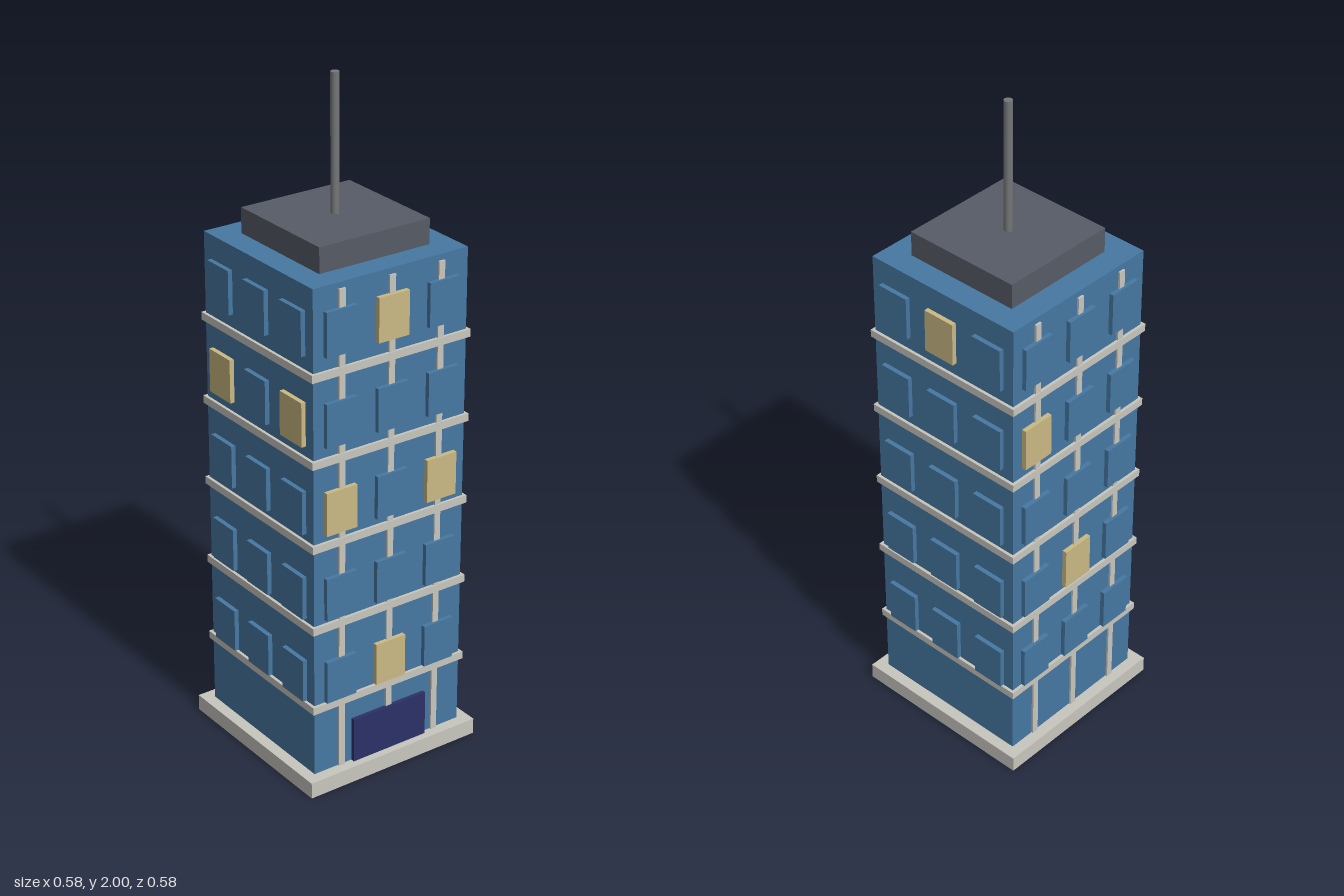
import * as THREE from 'three';

const material = (name, color) => {
  const m = new THREE.MeshStandardMaterial({ color });
  m.name = name;
  return m;
};

export function createModel() {
  const blue = material('wall blue', 0x4678a2);
  const stone = material('pale stone', 0xc8c6be);
  const gold = material('lit window gold', 0xcab983);
  const navy = material('door navy', 0x2c3068);
  const slate = material('roof slate', 0x565c66);
  const steel = material('antenna grey', 0x76777a);

  const tower = new THREE.Group();
  tower.name = 'tower';

  // Box spanning y0..y1, centred on x and z
  const box = (parent, name, mat, w, y0, y1, d, x = 0, z = 0) => {
    const mesh = new THREE.Mesh(new THREE.BoxGeometry(w, y1 - y0, d), mat);
    mesh.name = name;
    mesh.position.set(x, (y0 + y1) / 2, z);
    parent.add(mesh);
    return mesh;
  };

  // Main masses; the walls run down through the plinth to the ground
  const half = 0.255;
  box(tower, 'plinth', stone, 0.58, 0.001, 0.05, 0.58);
  box(tower, 'walls', blue, half * 2, 0, 1.53, half * 2);
  box(tower, 'roofBlock', slate, 0.363, 1.53, 1.605, 0.363);

  // Antenna
  const antenna = new THREE.Mesh(new THREE.CylinderGeometry(0.0125, 0.0125, 0.395, 8), steel);
  antenna.name = 'antenna';
  antenna.position.y = 1.8025;
  tower.add(antenna);

  // Ledges between the floors
  for (let i = 0; i < 5; i++) {
    const y = 0.263 + i * 0.254;
    box(tower, 'floorLedge', stone, 0.528, y - 0.0115, y + 0.0115, 0.528);
  }

  // Each facade is built facing +z, then turned; lit windows are [row, column]
  const facades = [
    { name: 'frontFacade', turn: 0, ribs: true, lit: [[0, 1], [2, 0], [2, 2], [4, 1]] },
    { name: 'leftFacade', turn: Math.PI / 2, ribs: false, lit: [[4, 1]] },
    { name: 'backFacade', turn: Math.PI, ribs: true, lit: [[1, 1], [3, 0]] },
    { name: 'rightFacade', turn: -Math.PI / 2, ribs: false, lit: [[3, 0], [3, 2]] },
  ];
  for (const { name, turn, ribs, lit } of facades) {
    const facade = new THREE.Group();
    facade.name = name;
    facade.rotation.y = turn;
    for (let col = 0; col < 3; col++) {
      // Vertical ribs
      if (ribs) box(facade, 'rib', stone, 0.02, 0.05, 1.512, 0.02, (col - 1) * 0.164, 0.251);
      // Raised window panels
      for (let row = 0; row < 5; row++) {
        const on = lit.some(([r, c]) => r === row && c === col);
        const y = 0.342 + row * 0.2632;
        box(facade, on ? 'litWindow' : 'window', on ? gold : blue,
          0.101, y - 0.065, y + 0.065, 0.02, (col - 1) * 0.17, 0.259);
      }
    }
    // Entrance
    if (name === 'frontFacade') box(facade, 'door', navy, 0.254, 0.05, 0.188, 0.02, 0, 0.2575);
    tower.add(facade);
  }

  return tower;
}
